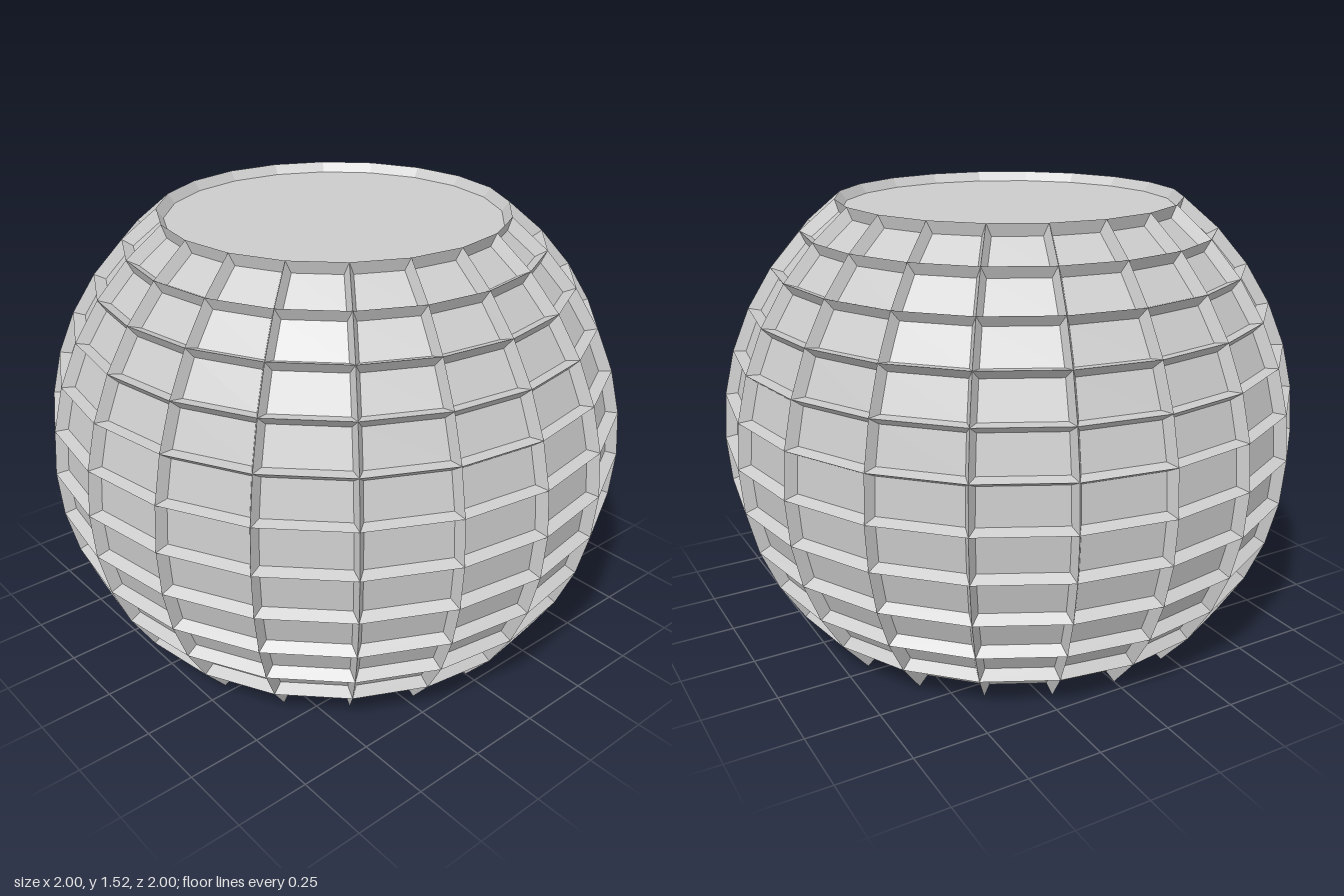
import * as THREE from 'three';

const SEG = 20, STEP = Math.PI / 10, LAT = Math.PI / 20;
const CENTER = Math.SQRT1_2;   // height of the sphere centre
const DEPTH = 0.96;            // radius of the sunken panels
const INSET = 0.014;           // half width of a rib at its base
const BOTTOM = -5, TOP = 6;    // latitude rows, nine degrees each

// point on the sphere: i counts around from +x towards +z, j counts up
function point(i, j, r = 1) {
  const a = i * STEP, b = j * LAT;
  return new THREE.Vector3(r * Math.cos(b) * Math.cos(a), CENTER + r * Math.sin(b), r * Math.cos(b) * Math.sin(a));
}

// corners in the order bottom-left, top-left, top-right, bottom-right
const cell = (i, j, r) => [point(i, j, r), point(i, j + 1, r), point(i + 1, j + 1, r), point(i + 1, j, r)];

// sunken corners, pulled in by a constant distance from the cell edges
function sunken(i, j) {
  const dj = INSET / (DEPTH * LAT);
  const low = j + (j === BOTTOM ? 0 : dj), high = j + 1 - dj;
  const di = (row) => INSET / (DEPTH * Math.cos(row * LAT) * STEP);
  return [point(i + di(low), low, DEPTH), point(i + di(high), high, DEPTH),
    point(i + 1 - di(high), high, DEPTH), point(i + 1 - di(low), low, DEPTH)];
}

function quad(list, a, b, c, d) {
  for (const p of [a, b, c, a, c, d]) list.push(p.x, p.y, p.z);
}

function toMesh(name, list, material) {
  const geometry = new THREE.BufferGeometry();
  geometry.setAttribute('position', new THREE.Float32BufferAttribute(list, 3));
  geometry.computeVertexNormals();
  const mesh = new THREE.Mesh(geometry, material);
  mesh.name = name;
  return mesh;
}

// a few cells stay level with the rib tops
function isFlush(i, j) {
  return (j === -4 && i === 1) || (j === BOTTOM && (i === 10 || i === 11));
}

export function createModel() {
  const group = new THREE.Group();
  group.name = 'panelledGlobe';
  const material = new THREE.MeshStandardMaterial({ color: 0xcccccc, flatShading: true, side: THREE.DoubleSide });

  const panels = [], ribs = [], flush = [];
  for (let j = BOTTOM; j < TOP; j++) {
    for (let i = 0; i < SEG; i++) {
      const outer = cell(i, j, 1);
      if (isFlush(i, j)) {
        quad(flush, ...outer);
        continue;
      }
      const inner = sunken(i, j);
      quad(panels, ...inner);
      // sloping sides of the ribs; the lowest row is open underneath
      for (let k = 0; k < 4; k++) {
        if (k === 3 && j === BOTTOM) continue;
        const n = (k + 1) % 4;
        quad(ribs, outer[k], outer[n], inner[n], inner[k]);
      }
    }
  }
  group.add(toMesh('sunkenPanels', panels, material));
  group.add(toMesh('ribs', ribs, material));
  group.add(toMesh('flushPanels', flush, material));

  // flat lid, slightly below the top rim
  const rim = Math.cos(TOP * LAT), rimY = CENTER + Math.sin(TOP * LAT);
  const lidR = rim * DEPTH, lidY = CENTER + Math.sin(TOP * LAT) * DEPTH;
  const lid = new THREE.Mesh(new THREE.CircleGeometry(lidR, SEG), material);
  lid.name = 'lid';
  lid.rotation.x = -Math.PI / 2;
  lid.position.y = lidY;
  group.add(lid);

  const rimWall = new THREE.Mesh(new THREE.CylinderGeometry(rim, lidR, rimY - lidY, SEG, 1, true), material);
  rimWall.name = 'rimWall';
  rimWall.position.y = (rimY + lidY) / 2;
  group.add(rimWall);

  return group;
}
